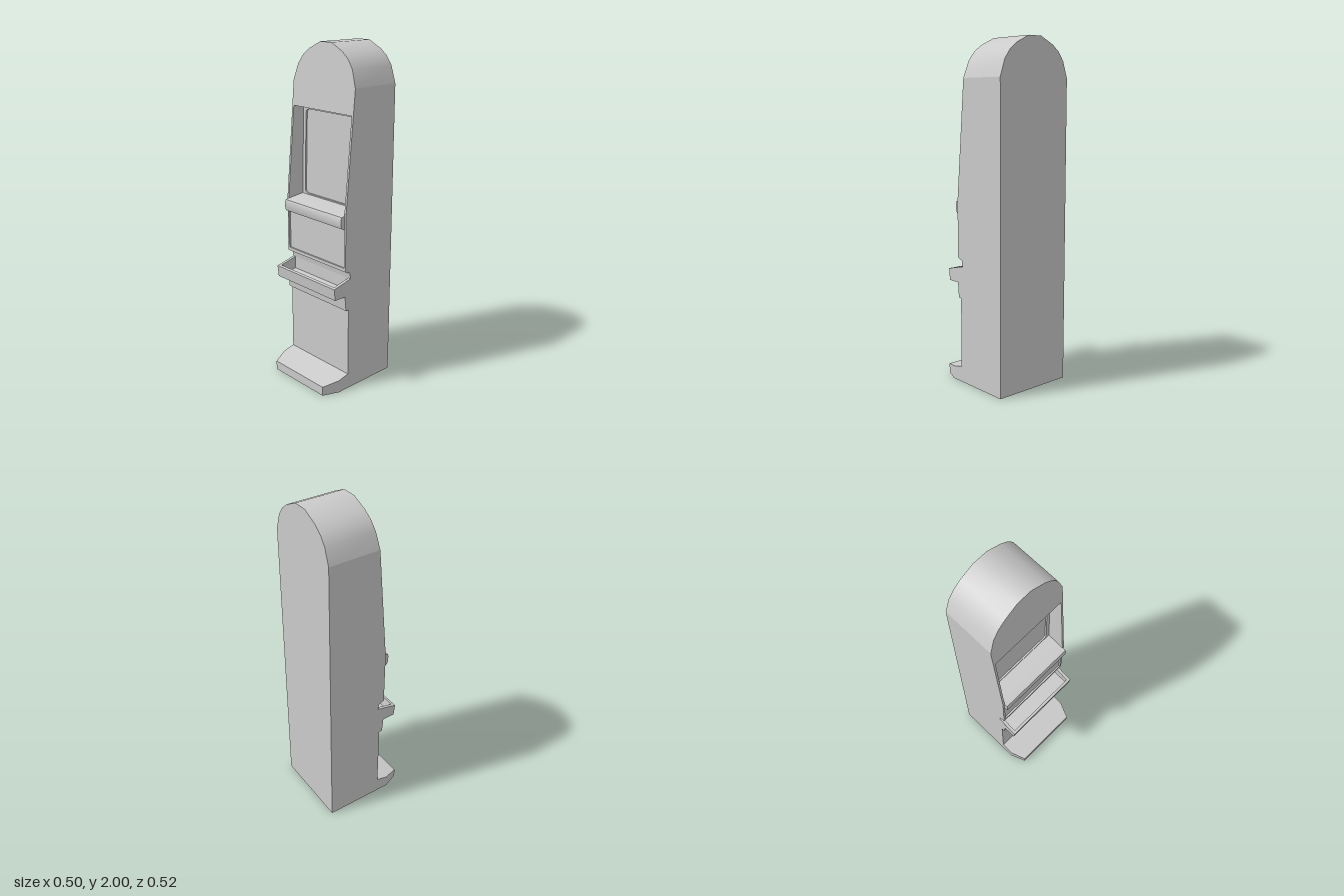
import * as THREE from 'three';
import { toCreasedNormals } from 'three/addons/utils/BufferGeometryUtils.js';

const HALF = 0.25, INNER = 0.237, BACK = -0.26;
const mat = new THREE.MeshStandardMaterial({ color: 0xcccccc, side: THREE.DoubleSide });

// Front plane of the cabinet: vertical below the lip, leaning back above it
const frontZ = y => (y > 1.08 ? 0.115 - (y - 1.08) / 0.92 * 0.083 : 0.115);

// Rounded top outline, from -x to +x
const right = [[0.045, 2], [0.135, 1.957], [0.182, 1.92], [0.218, 1.87], [0.25, 1.775]];
const arch = [...right.map(([x, y]) => [-x, y]).reverse(), ...right];

function add(group, name, geometry) {
  const mesh = new THREE.Mesh(geometry, mat);
  mesh.name = name;
  group.add(mesh);
  return mesh;
}

// Surface through rows of points
function sheet(rows, crease = 0.6) {
  const pos = rows.flat(2), n = rows[0].length, index = [];
  for (let r = 0; r < rows.length - 1; r++)
    for (let c = 0; c < n - 1; c++) {
      const a = r * n + c, d = a + n;
      index.push(a, d, d + 1, a, d + 1, a + 1);
    }
  const g = new THREE.BufferGeometry();
  g.setAttribute('position', new THREE.Float32BufferAttribute(pos, 3));
  g.setIndex(index);
  return toCreasedNormals(g, crease);
}

// Strip of half-width w following a [z, y] path downwards
const ribbon = (path, w, crease) => sheet(path.map(([z, y]) => [[-w, y, z], [w, y, z]]), crease);

const shapeOf = pts => new THREE.Shape(pts.map(p => new THREE.Vector2(...p)));

// Flat [z, y] outline standing at x on side s, facing outwards; thickness grows inwards
function sidePlate(pts, s, thickness = 0) {
  const shape = shapeOf(pts.map(([z, y]) => [-s * z, y]));
  const g = thickness
    ? new THREE.ExtrudeGeometry(shape, { depth: thickness, bevelEnabled: false }).translate(0, 0, -thickness)
    : new THREE.ShapeGeometry(shape);
  return g.rotateY(s * Math.PI / 2).translate(s * HALF, 0, 0);
}

function roundedRect(path, w, y0, y1, r) {
  path.moveTo(-w + r, y0);
  path.lineTo(w - r, y0).quadraticCurveTo(w, y0, w, y0 + r);
  path.lineTo(w, y1 - r).quadraticCurveTo(w, y1, w - r, y1);
  path.lineTo(-w + r, y1).quadraticCurveTo(-w, y1, -w, y1 - r);
  path.lineTo(-w, y0 + r).quadraticCurveTo(-w, y0, -w + r, y0);
  return path;
}

function buildCabinet() {
  const g = new THREE.Group();
  g.name = 'cabinet';

  // Back, rounded roof and sides form a shell open underneath
  add(g, 'backPanel', new THREE.ShapeGeometry(shapeOf([[-HALF, 0], [HALF, 0], ...[...arch].reverse()]))
    .rotateY(Math.PI).translate(0, 0, BACK));
  add(g, 'roof', sheet([
    arch.map(([x, y]) => [x, y, BACK]),
    arch.map(([x, y]) => [x, y, frontZ(y)]),
  ]));
  const profile = [[BACK, 0], [0.09, 0], [0.09, 0.51], [0.11, 0.51], [0.118, 0.6], [0.075, 0.6],
    [0.075, 0.7], [0.08, 0.735], [0.115, 0.75], [0.115, 1.08], [frontZ(1.775), 1.775], [BACK, 1.775]];
  for (const s of [-1, 1]) add(g, 'sidePanel', sidePlate(profile, s));

  // Leaning front above the screen
  const cap = new THREE.ShapeGeometry(shapeOf([[-HALF, 1.63], [HALF, 1.63], ...[...arch].reverse()]));
  const p = cap.attributes.position;
  for (let i = 0; i < p.count; i++) p.setZ(i, frontZ(p.getY(i)));
  cap.computeVertexNormals();
  add(g, 'headPanel', cap);

  // Narrow cheeks framing the recess, with their inner walls
  for (const s of [-1, 1]) {
    const rows = [[1.63, -0.02], [1.08, -0.01], [1.0, 0.09], [0.77, 0.1]].map(([y, zb]) => {
      const row = [[s * HALF, y, frontZ(y)], [s * INNER, y, frontZ(y)], [s * INNER, y, zb]];
      return s < 0 ? row : row.reverse();
    });
    add(g, 'cheek', sheet(rows, 0.05));
  }
  add(g, 'recessTop', ribbon([[frontZ(1.63), 1.63], [-0.02, 1.622]], INNER));

  // Middle and lower front
  add(g, 'middlePanel', ribbon([[0.105, 1.01], [0.105, 0.77], [0.115, 0.77]], INNER, 0.1));
  add(g, 'lowerFront', ribbon([[0.115, 0.77], [0.115, 0.75], [0.08, 0.735], [0.075, 0.7], [0.075, 0.6],
    [0.118, 0.6], [0.11, 0.51], [0.09, 0.51], [0.09, 0.09]], HALF, 0.05));
  return g;
}

function buildScreen() {
  const g = new THREE.Group();
  g.name = 'screenUnit';
  // Bezel with a rounded opening, screen set just behind it
  const bezel = shapeOf([[-INNER, -0.275], [INNER, -0.275], [INNER, 0.275], [-INNER, 0.275]]);
  bezel.holes.push(roundedRect(new THREE.Path(), 0.215, -0.255, 0.25, 0.03));
  add(g, 'bezel', new THREE.ExtrudeGeometry(bezel, { depth: 0.01, bevelEnabled: false }));
  add(g, 'screen', new THREE.PlaneGeometry(2 * INNER, 0.54));
  g.position.set(0, 1.355, -0.012);
  g.rotation.x = -0.0275;
  return g;
}

function buildTray() {
  const g = new THREE.Group();
  g.name = 'tray';
  const wall = [[0.075, 0.6], [0.195, 0.6], [0.203, 0.67], [0.075, 0.7]];
  for (const s of [-1, 1]) add(g, 'trayEnd', sidePlate(wall, s, 0.018));
  const front = [[0.18, 0.6], [0.195, 0.6], [0.203, 0.67], [0.187, 0.674]];
  add(g, 'trayFront', sidePlate(front, 1, 2 * HALF));
  const floor = [[0.075, 0.6], [0.19, 0.6], [0.19, 0.612], [0.075, 0.625]];
  add(g, 'trayFloor', sidePlate(floor, 1, 2 * HALF));
  return g;
}

function buildFoot() {
  // Sloping toe with cut corners, open underneath
  const half = [[0.25, 0.09], [0.25, 0.165], [0.212, 0.259]];
  const plan = [...half.map(([x, z]) => [-x, z]), ...[...half].reverse()];
  const topY = z => 0.093 - (z - 0.09) * 0.22;
  const g = new THREE.Group();
  g.name = 'foot';
  add(g, 'footTop', sheet(half.map(([x, z]) => [[-x, topY(z), z], [x, topY(z), z]])));
  add(g, 'footRim', sheet([
    plan.map(([x, z]) => [x, topY(z), z]),
    plan.map(([x, z]) => [x, 0, z]),
  ], 0.1));
  return g;
}

export function createModel() {
  const model = new THREE.Group();
  model.name = 'kiosk';
  model.add(buildCabinet(), buildScreen(), buildTray(), buildFoot());
  // Rounded ledge below the screen
  const ledge = [[-0.01, 1.095], [0.06, 1.088], [0.125, 1.08], [0.137, 1.077], [0.142, 1.065],
    [0.142, 1.03], [0.136, 1.01], [0.115, 1.0], [0.09, 1.0]];
  add(model, 'ledge', ribbon(ledge, 0.24, 0.7));
  for (const s of [-1, 1])
    add(model, 'ledgeEnd', sidePlate(ledge, s).translate(-s * (HALF - 0.24), 0, 0));
  return model;
}
